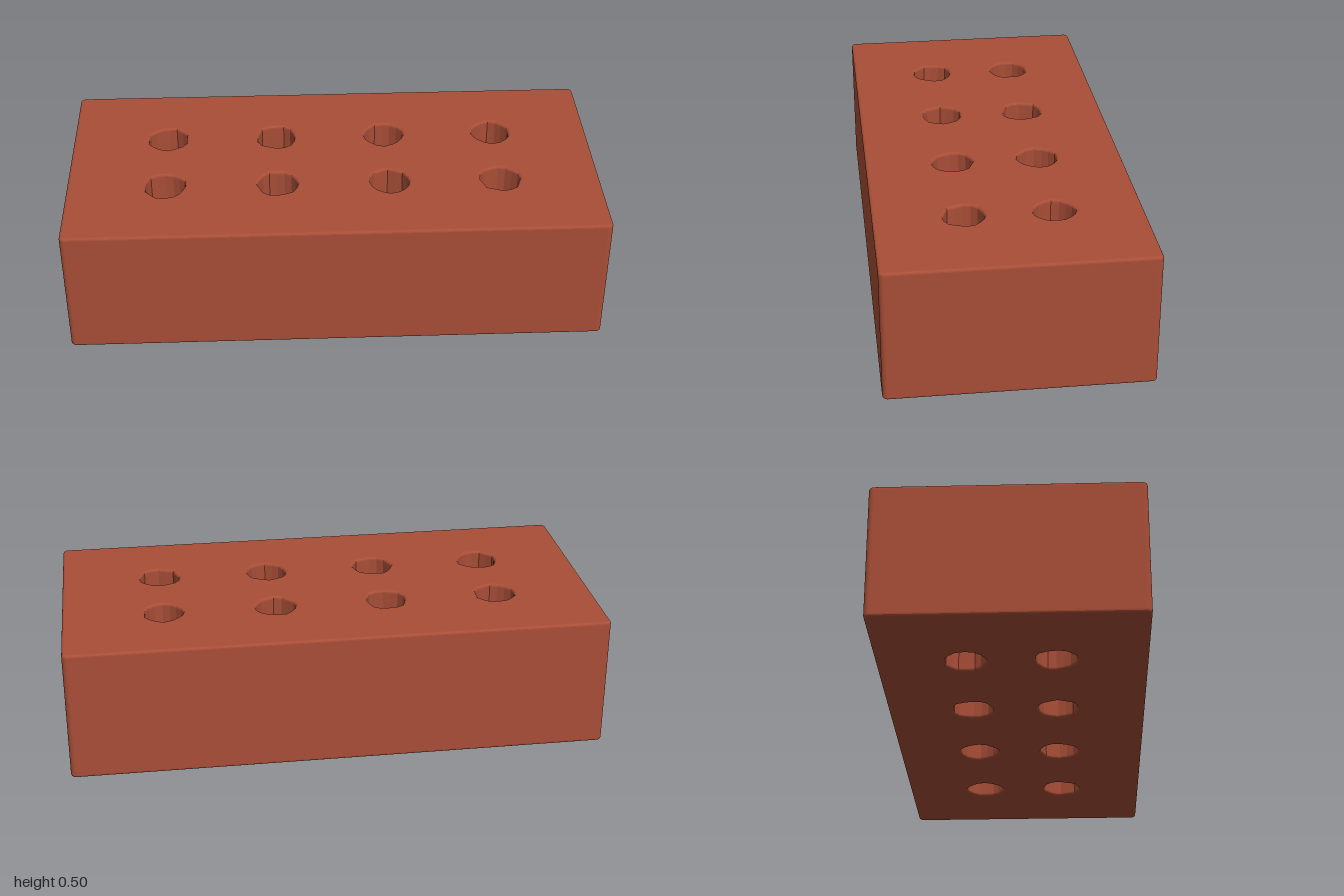
import * as THREE from 'three';

const WIDTH = 2, HEIGHT = 0.5, DEPTH = 0.956, CORNER = 0.02, BEVEL = 0.01;

// Seeded random, so the rough holes are always the same
function makeRandom(seed) {
  return () => {
    seed = (seed * 16807) % 2147483647;
    return seed / 2147483647;
  };
}

// Rectangle with small rounded corners
function roundedRectangle(w, d, r) {
  const shape = new THREE.Shape();
  const x = w / 2 - r, y = d / 2 - r;
  shape.absarc(x, y, r, 0, Math.PI / 2);
  shape.absarc(-x, y, r, Math.PI / 2, Math.PI);
  shape.absarc(-x, -y, r, Math.PI, Math.PI * 1.5);
  shape.absarc(x, -y, r, Math.PI * 1.5, Math.PI * 2);
  shape.closePath();
  return shape;
}

// Roughly round hole with a chipped outline
function roughHole(cx, cy, radius, random) {
  const count = 16, points = [];
  for (let i = 0; i < count; i++) {
    const a = -(i / count) * Math.PI * 2;
    const r = radius * (0.94 + 0.13 * random());
    points.push(new THREE.Vector2(cx + Math.cos(a) * r, cy + Math.sin(a) * r));
  }
  return new THREE.Path(points);
}

export function createModel() {
  const group = new THREE.Group();
  group.name = 'brick';
  const clay = new THREE.MeshStandardMaterial({ color: 0xa84e37 });
  clay.name = 'red clay';

  // Body outline pierced by two rows of four holes
  const outline = roundedRectangle(WIDTH, DEPTH, CORNER);
  const random = makeRandom(4217);
  for (const z of [-0.163, 0.155]) {
    for (let i = 0; i < 4; i++) {
      outline.holes.push(roughHole(-0.633 + i * 0.42, -z, 0.074, random));
    }
  }

  // Softened edges on the body and the rims of the holes
  const geometry = new THREE.ExtrudeGeometry(outline, {
    depth: HEIGHT - 2 * BEVEL,
    curveSegments: 5,
    bevelEnabled: true,
    bevelThickness: BEVEL,
    bevelSize: BEVEL,
    bevelOffset: -BEVEL,
    bevelSegments: 4,
  });
  geometry.rotateX(-Math.PI / 2);
  geometry.translate(0, BEVEL, 0);

  const body = new THREE.Mesh(geometry, clay);
  body.name = 'brickBody';
  group.add(body);
  return group;
}
